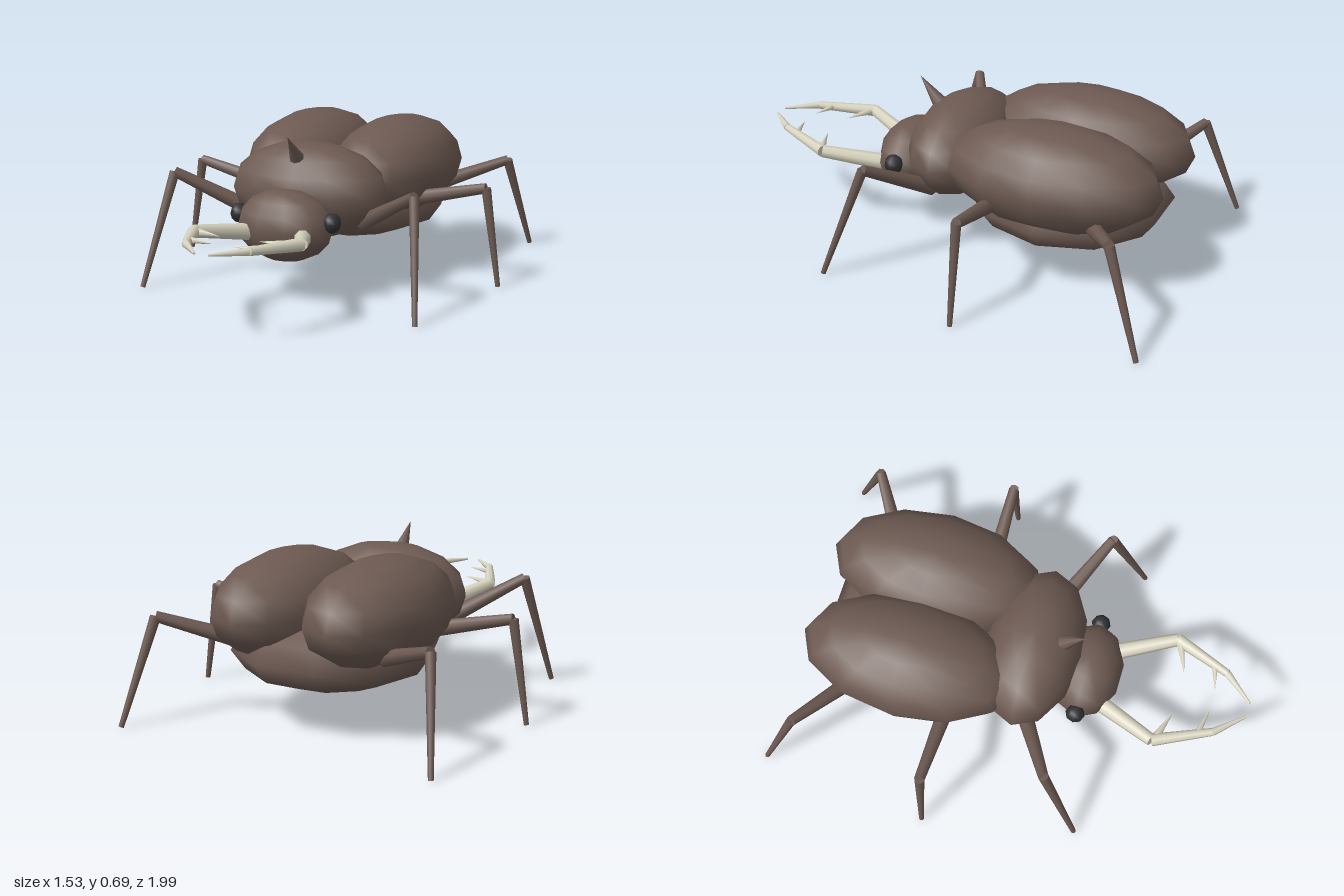
import * as THREE from 'three';

const shell = new THREE.MeshStandardMaterial({ color: 0x6d5a52 });
const ivory = new THREE.MeshStandardMaterial({ color: 0xd8d4c0 });
const dark = new THREE.MeshStandardMaterial({ color: 0x303034 });

function ellipsoid(name, material, centre, radii, around, rings) {
  const mesh = new THREE.Mesh(new THREE.SphereGeometry(1, around, rings), material);
  mesh.name = name;
  mesh.position.set(...centre);
  mesh.scale.set(...radii);
  return mesh;
}

// Tapered rod from point a (radius ra) to point b (radius rb)
function rod(name, material, a, b, ra, rb, sides = 8) {
  const start = new THREE.Vector3(...a);
  const end = new THREE.Vector3(...b);
  const dir = end.clone().sub(start);
  const mesh = new THREE.Mesh(new THREE.CylinderGeometry(rb, ra, dir.length(), sides), material);
  mesh.name = name;
  mesh.position.copy(start).add(end).multiplyScalar(0.5);
  mesh.quaternion.setFromUnitVectors(new THREE.Vector3(0, 1, 0), dir.normalize());
  return mesh;
}

// Chain of tapered rods through a list of points
function limb(name, material, points, radii, partNames) {
  const group = new THREE.Group();
  group.name = name;
  for (let i = 0; i < points.length - 1; i++) {
    group.add(rod(partNames[i], material, points[i], points[i + 1], radii[i], radii[i + 1]));
  }
  return group;
}

export function createModel() {
  const model = new THREE.Group();
  model.name = 'beetle';

  // Body
  model.add(
    ellipsoid('abdomen', shell, [0, 0.29, -0.44], [0.42, 0.16, 0.44], 10, 6),
    ellipsoid('thorax', shell, [0, 0.425, 0.05], [0.36, 0.205, 0.21], 12, 8),
    ellipsoid('head', shell, [0, 0.32, 0.29], [0.215, 0.152, 0.15], 10, 8),
    rod('horn', shell, [0, 0.56, 0.16], [0, 0.685, 0.265], 0.038, 0, 8),
  );

  // Hip, knee and foot of each leg on the left side
  const legs = [
    ['front', [0.26, 0.31, 0.08], [0.55, 0.485, 0.245], [0.625, 0.003, 0.41]],
    ['middle', [0.3, 0.34, -0.24], [0.69, 0.43, -0.245], [0.755, 0.002, -0.245]],
    ['hind', [0.3, 0.32, -0.65], [0.6, 0.43, -0.835], [0.675, 0.003, -0.99]],
  ];

  for (const s of [1, -1]) {
    const side = s > 0 ? 'Left' : 'Right';
    const mirror = ([x, y, z]) => [s * x, y, z];

    model.add(
      ellipsoid('wingCase' + side, shell, mirror([0.205, 0.455, -0.44]), [0.26, 0.215, 0.47], 12, 8),
      ellipsoid('eye' + side, dark, mirror([0.212, 0.35, 0.29]), [0.04, 0.042, 0.042], 8, 6),
    );

    for (const [name, ...points] of legs) {
      model.add(limb(name + 'Leg' + side, shell, points.map(mirror), [0.036, 0.022, 0.011], ['thigh', 'shin']));
    }

    // Curved jaw with two inner teeth
    const path = [[0.1, 0.29, 0.33], [0.235, 0.35, 0.63], [0.135, 0.372, 0.87], [0.03, 0.376, 0.99]];
    const jaw = limb('jaw' + side, ivory, path.map(mirror), [0.038, 0.027, 0.017, 0.005],
      ['jawBase', 'jawMiddle', 'jawTip']);
    jaw.add(
      rod('tooth', ivory, mirror([0.215, 0.352, 0.645]), mirror([0.085, 0.36, 0.692]), 0.018, 0, 6),
      rod('tooth', ivory, mirror([0.15, 0.368, 0.81]), mirror([0.045, 0.372, 0.835]), 0.014, 0, 6),
    );
    model.add(jaw);
  }
  return model;
}
